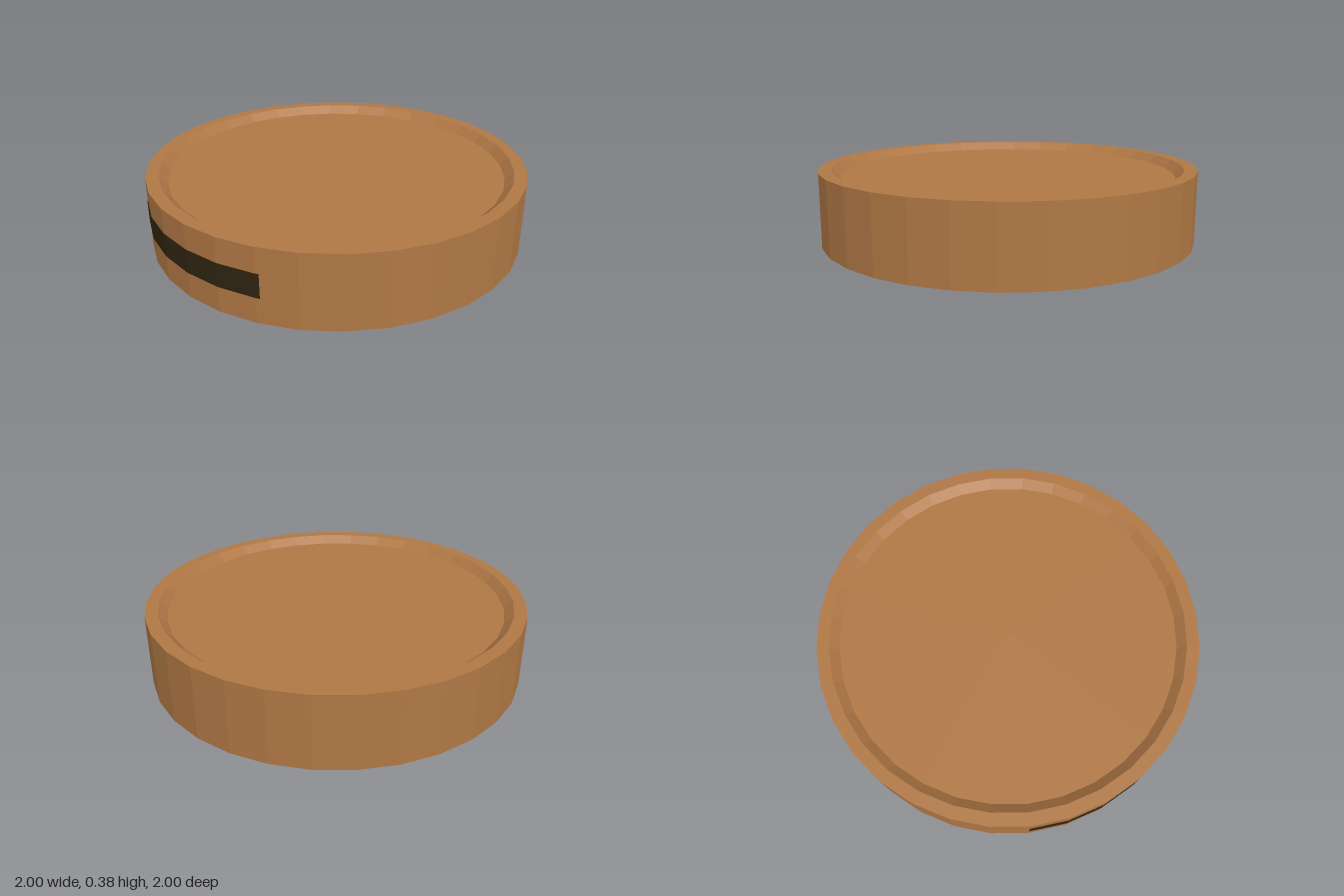
import * as THREE from 'three';

const SIDES = 32;
const STEP = (Math.PI * 2) / SIDES;

// Revolve [radius, height] pairs, listed bottom to top on the outside
function revolve(name, profile, material, segments = SIDES, start = 0, length = Math.PI * 2) {
  const points = profile.map(([r, y]) => new THREE.Vector2(r, y));
  const mesh = new THREE.Mesh(new THREE.LatheGeometry(points, segments, start, length), material);
  mesh.name = name;
  return mesh;
}

export function createModel() {
  const wood = new THREE.MeshStandardMaterial({ color: 0xb07845, flatShading: true });
  wood.name = 'warmWood';
  const dark = new THREE.MeshStandardMaterial({ color: 0x2f2411, flatShading: true, side: THREE.DoubleSide });
  dark.name = 'darkSlot';

  const model = new THREE.Group();
  model.name = 'roundTray';

  // Faceted disc with a shallow sloping recess in its top
  model.add(revolve('body', [
    [0, 0], [1, 0], [1, 0.385], [0.935, 0.385], [0.89, 0.343], [0, 0.343],
  ], wood));

  // Thin dark slot wrapped round the front: five facets and a short end piece
  const slot = new THREE.Group();
  slot.name = 'slot';
  const strip = [[0.99, 0.133], [1.003, 0.133], [1.003, 0.255], [0.99, 0.255]];
  slot.add(revolve('slotStrip', strip, dark, 5, -5 * STEP, 5 * STEP));
  slot.add(revolve('slotEnd', strip, dark, 1, 0, 0.02));
  model.add(slot);

  return model;
}
